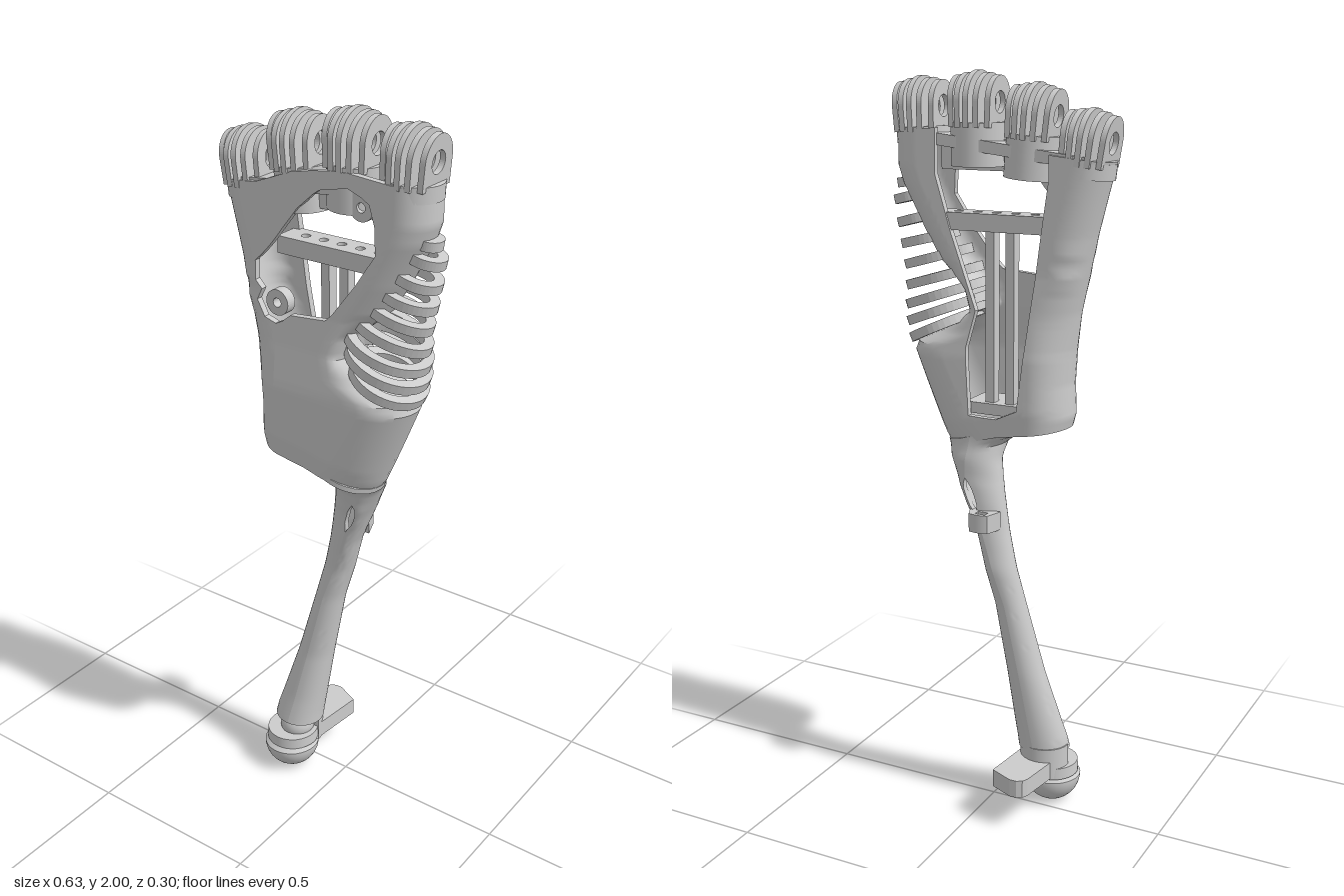
import * as THREE from 'three';
import { toCreasedNormals } from 'three/addons/utils/BufferGeometryUtils.js';

const grey = new THREE.MeshStandardMaterial({ color: 0xcccccc, side: THREE.DoubleSide });

// Linear interpolation in a list of [position, value] pairs
function at(table, y) {
  if (y <= table[0][0]) return table[0][1];
  for (let i = 1; i < table.length; i++) {
    const [y0, v0] = table[i - 1], [y1, v1] = table[i];
    if (y <= y1) return v0 + (v1 - v0) * (y - y0) / (y1 - y0);
  }
  return table[table.length - 1][1];
}

// Height offset: slants the wrist edge and steps the top edge along the finger bases
const wristEdge = [[-0.21, 0.028], [-0.03, 0], [0.15, -0.05], [0.25, -0.06]];
const topEdge = [[-0.32, -0.038], [-0.16, -0.02], [-0.1, 0.015], [0, 0.035], [0.07, 0.045], [0.2, 0.035], [0.3, 0.03]];
const lift = (x, y) => at(wristEdge, x) * at([[1, 0], [1.07, 1], [1.1, 1], [1.3, 0]], y) +
  at(topEdge, x) * at([[1.6, 0], [1.82, 1]], y);

// Half of a hollow limb: C-shaped sections from a front edge, round the side s, to a back edge
function halfShell(s, p, y0, y1, rows) {
  const pos = [], idx = [], m = 14, flat = 6;
  const section = (y, inset) => {
    const end = at(s > 0 ? p.right : p.left, y) - s * inset;
    const f = at(s > 0 ? p.frontR : p.frontL, y), b = at(s > 0 ? p.backR : p.backL, y);
    const hz = at(p.depth, y) - inset, zc = at(p.zc, y);
    const rx = Math.max(0.003, Math.min(at(p.round, y) - inset, s * (end - f), s * (end - b)));
    const turn = end - s * rx, pts = [];
    for (let k = 0; k < flat; k++) pts.push([f + (turn - f) * k / flat, zc + hz]);
    for (let k = 0; k <= m; k++) {
      const a = Math.PI * (0.5 - k / m);
      pts.push([turn + s * rx * Math.cos(a), zc + hz * Math.sin(a)]);
    }
    for (let k = 1; k <= flat; k++) pts.push([turn + (b - turn) * k / flat, zc - hz]);
    return pts;
  };
  const half = m + 1 + 2 * flat, n = 2 * half;
  const tri = (a, b, c) => (s > 0 ? idx.push(a, b, c) : idx.push(a, c, b));
  for (let i = 0; i <= rows; i++) {
    const y = y0 + (y1 - y0) * i / rows;
    for (const [x, z] of [...section(y, 0), ...section(y, p.wall).reverse()]) pos.push(x, y + lift(x, y), z);
    if (i === rows) break;
    for (let j = 0; j < n; j++) {
      const a = i * n + j, b = i * n + (j + 1) % n;
      tri(a, b, b + n);
      tri(a, b + n, a + n);
    }
  }
  for (let k = 0; k < half - 1; k++) {
    const o = rows * n, q = n - 1 - k;
    tri(o + k, o + k + 1, o + q - 1); tri(o + k, o + q - 1, o + q);
    tri(k, q - 1, k + 1); tri(k, q, q - 1);
  }
  const g = new THREE.BufferGeometry();
  g.setAttribute('position', new THREE.Float32BufferAttribute(pos, 3));
  g.setIndex(idx);
  return toCreasedNormals(g, 0.6);
}

// Plate cut from a shape, centred on its thickness
function plate(shape, thick) {
  return new THREE.ExtrudeGeometry(shape, { depth: thick, bevelEnabled: false, curveSegments: 20 }).translate(0, 0, -thick / 2);
}
const hole = (x, y, r) => new THREE.Path().absarc(x, y, r, 0, Math.PI * 2, true);
const polygon = (Type, pts) => new Type(pts.map(p => new THREE.Vector2(...p)));

export function createModel() {
  const root = new THREE.Group();
  const add = (name, geo, x = 0, y = 0, z = 0, parent = root) => {
    const mesh = new THREE.Mesh(geo, grey);
    mesh.name = name;
    mesh.position.set(x, y, z);
    parent.add(mesh);
    return mesh;
  };
  const box = (name, x, y, z, w, h, d) => add(name, new THREE.BoxGeometry(w, h, d), x, y, z);

  // Palm shell with a front window, an open back and a thumb recess
  const palm = {
    wall: 0.018,
    left: [[1.07, -0.2], [1.1, -0.208], [1.2, -0.203], [1.3, -0.208], [1.4, -0.222], [1.6, -0.265], [1.82, -0.313]],
    right: [[1.07, 0.14], [1.28, 0.25], [1.3, 0.24], [1.33, 0.17], [1.39, 0.075], [1.45, 0.09], [1.52, 0.17], [1.7, 0.28], [1.74, 0.295], [1.82, 0.295]],
    depth: [[1.07, 0.093], [1.13, 0.1], [1.28, 0.1], [1.4, 0.088], [1.5, 0.08], [1.82, 0.075]],
    zc: [[1.07, 0.046], [1.3, 0.05], [1.82, 0.045]],
    round: [[1.07, 0.13], [1.3, 0.11], [1.5, 0.08], [1.82, 0.075]],
    frontL: [[1.45, -0.12], [1.46, -0.155], [1.5, -0.18], [1.53, -0.165], [1.55, -0.185], [1.6, -0.185], [1.74, -0.055], [1.77, -0.01], [1.785, 0.02], [1.79, 0.09]],
    frontR: [[1.45, -0.12], [1.46, -0.1], [1.485, -0.07], [1.49, 0.03], [1.51, 0.05], [1.67, 0.172], [1.73, 0.168], [1.775, 0.15], [1.79, 0.09]],
    backL: [[1.12, -0.03], [1.14, -0.09], [1.4, -0.12], [1.75, -0.165], [1.82, -0.165]],
    backR: [[1.12, -0.03], [1.14, 0.05], [1.3, 0.06], [1.4, 0.035], [1.5, 0.075], [1.72, 0.155], [1.82, 0.155]],
  };
  // Hollow forearm flaring into the wrist, with a slot near the top
  const mid = [[0.17, -0.137], [0.4, -0.098], [0.6, -0.058], [0.84, 0.02]];
  const slot = w => [...mid, [0.85, 0.025], [0.88, 0.036 + w], [0.93, 0.055 + w], [0.945, 0.06], [1, 0.06], [1.085, 0.05]];
  const arm = {
    wall: 0.018,
    left: [[0.17, -0.212], [0.2, -0.207], [0.4, -0.15], [0.6, -0.1], [0.8, -0.052], [1, -0.015], [1.04, -0.02], [1.06, -0.05], [1.075, -0.14], [1.085, -0.2]],
    right: [[0.17, -0.068], [0.2, -0.066], [0.4, -0.045], [0.6, -0.015], [0.8, 0.037], [0.9, 0.077], [1, 0.125], [1.085, 0.148]],
    depth: [[0.17, 0.067], [0.25, 0.06], [0.4, 0.05], [0.6, 0.042], [0.75, 0.042], [0.9, 0.048], [1, 0.064], [1.04, 0.08], [1.07, 0.093]],
    zc: [[0.17, 0.038], [0.25, 0.025], [0.4, 0.005], [0.7, -0.02], [0.9, -0.007], [1, 0.008], [1.04, 0.03], [1.07, 0.046]],
    round: [[0, 0.5]],
    frontL: slot(-0.012), frontR: slot(0.012), backL: slot(-0.012), backR: slot(0.012),
  };
  for (const s of [1, -1]) {
    add(s > 0 ? 'palmLeftHalf' : 'palmRightHalf', halfShell(s, palm, 1.07, 1.82, 75));
    add(s > 0 ? 'forearmLeftHalf' : 'forearmRightHalf', halfShell(s, arm, 0.17, 1.085, 61));
  }

  // Palm roof, upper beam, crossbar, rails and tray
  box('palmRoof', -0.01, 1.81, 0.045, 0.5, 0.03, 0.13).rotation.z = 0.12;
  box('upperBeam', 0.04, 1.79, 0.06, 0.27, 0.08, 0.035);
  const barShape = polygon(THREE.Shape, [[-0.17, -0.04], [0.17, -0.04], [0.17, 0.04], [-0.17, 0.04]]);
  for (let i = 0; i < 5; i++) barShape.holes.push(hole(-0.11 + i * 0.055, 0, 0.012));
  add('crossbar', plate(barShape, 0.045), 0, 1.625, 0.015).rotation.x = -Math.PI / 2;
  for (const x of [-0.052, 0.005]) box('rail', x, 1.38, 0.0, 0.025, 0.48, 0.03);
  box('tray', -0.03, 1.14, 0.03, 0.2, 0.03, 0.12);

  // Screw bosses in the window corners
  for (const [x, y] of [[0.122, 1.785], [-0.132, 1.495]]) {
    const ring = new THREE.Shape().absarc(0, 0, 0.034, 0, Math.PI * 2);
    ring.holes.push(hole(0, 0, 0.012));
    add('screwBoss', plate(ring, 0.03), x, y, 0.095);
  }

  // Slatted thumb mound: tilted hoops, [left x, left y, right x, right y, half depth]
  const ribs = [
    [0.24, 1.72, 0.305, 1.71, 0.035], [0.21, 1.69, 0.315, 1.665, 0.045], [0.17, 1.64, 0.305, 1.605, 0.055],
    [0.13, 1.59, 0.295, 1.55, 0.06], [0.09, 1.55, 0.285, 1.495, 0.065], [0.06, 1.505, 0.28, 1.44, 0.075],
    [0.05, 1.465, 0.275, 1.39, 0.1], [0.055, 1.425, 0.27, 1.345, 0.105], [0.07, 1.385, 0.26, 1.3, 0.105],
  ];
  for (const [x0, y0, x1, y1, hz] of ribs) {
    const len = Math.hypot(x1 - x0, y1 - y0) / 2;
    const shape = new THREE.Shape().absellipse(0, 0, len, hz, 0, Math.PI * 2);
    shape.holes.push(new THREE.Path().absellipse(0, 0, len - 0.026, hz - 0.026, 0, Math.PI * 2, true));
    const g = plate(shape, 0.025).rotateX(-Math.PI / 2);
    add('thumbRib', g, (x0 + x1) / 2, (y0 + y1) / 2, 0.045).rotation.z = Math.atan2(y1 - y0, x1 - x0);
  }

  // Four knuckles: a round stub carrying a barrel of pierced arched fins, [x, base y, lean, stub length]
  const knuckles = [[-0.24, 1.785, 0.12, 0.04], [-0.093, 1.845, 0.08, 0.11], [0.066, 1.872, 0, 0.11], [0.226, 1.858, -0.05, 0.04]];
  for (const [x, y, lean, stub] of knuckles) {
    const k = new THREE.Group();
    k.name = 'knuckle';
    k.position.set(x, y, 0.045);
    k.rotation.z = lean;
    root.add(k);
    add('knuckleStub', new THREE.CylinderGeometry(0.073, 0.073, stub, 32), 0, -stub / 2, 0, k);
    for (let i = -2; i <= 2; i++) {
      const fx = i * 0.0255, r = Math.sqrt(0.077 ** 2 - fx ** 2);
      const fin = new THREE.Shape();
      fin.moveTo(-r, -0.012).lineTo(r, -0.012).lineTo(r, 0.053);
      fin.absellipse(0, 0.053, r, 0.075 - Math.abs(i) * 0.006, 0, Math.PI);
      fin.holes.push(hole(0, 0.05, 0.028));
      add('knuckleFin', plate(fin, 0.015).rotateY(Math.PI / 2), fx, 0, 0, k).rotation.z = -i * 0.02;
    }
  }

  // Ball end with its collar, inner dome and rear support
  const bx = -0.155, bz = 0.06;
  add('ballEnd', new THREE.SphereGeometry(0.08, 32, 12, 0, Math.PI * 2, Math.PI / 2, Math.PI / 2), bx, 0.08, bz);
  add('ballCap', new THREE.CylinderGeometry(0.066, 0.08, 0.012, 32), bx, 0.086, bz);
  add('collar', new THREE.CylinderGeometry(0.074, 0.076, 0.032, 32), bx, 0.108, bz - 0.006);
  add('innerDome', new THREE.SphereGeometry(0.05, 24, 16), bx + 0.01, 0.135, bz - 0.015);
  add('rearSupport', new THREE.CylinderGeometry(0.07, 0.07, 0.09, 24, 1, false, Math.PI / 2, Math.PI), bx + 0.012, 0.14, 0.038);

  // Lower bracket: a pierced plate pointing back
  const lower = polygon(THREE.Shape, [[-0.075, -0.02], [-0.06, 0.125], [-0.125, 0.154], [-0.145, 0.154], [-0.16, 0.146], [-0.168, 0.13], [-0.19, -0.02]]);
  lower.holes.push(hole(-0.13, 0.12, 0.011), hole(-0.153, 0.055, 0.011));
  add('lowerBracket', plate(lower, 0.05).rotateX(-Math.PI / 2), 0, 0.122, 0);

  // Upper bracket: a guide loop behind the forearm
  const guide = new THREE.Shape();
  guide.moveTo(0.05, 0.04).lineTo(0.03, 0.09).quadraticCurveTo(0, 0.1, -0.025, 0.09).lineTo(-0.04, 0.04);
  guide.holes.push(polygon(THREE.Path, [[-0.015, 0.064], [-0.015, 0.083], [0.015, 0.083], [0.015, 0.064]]));
  add('upperBracket', plate(guide, 0.05).rotateX(-Math.PI / 2), 0, 0.84, 0);

  return root;
}
